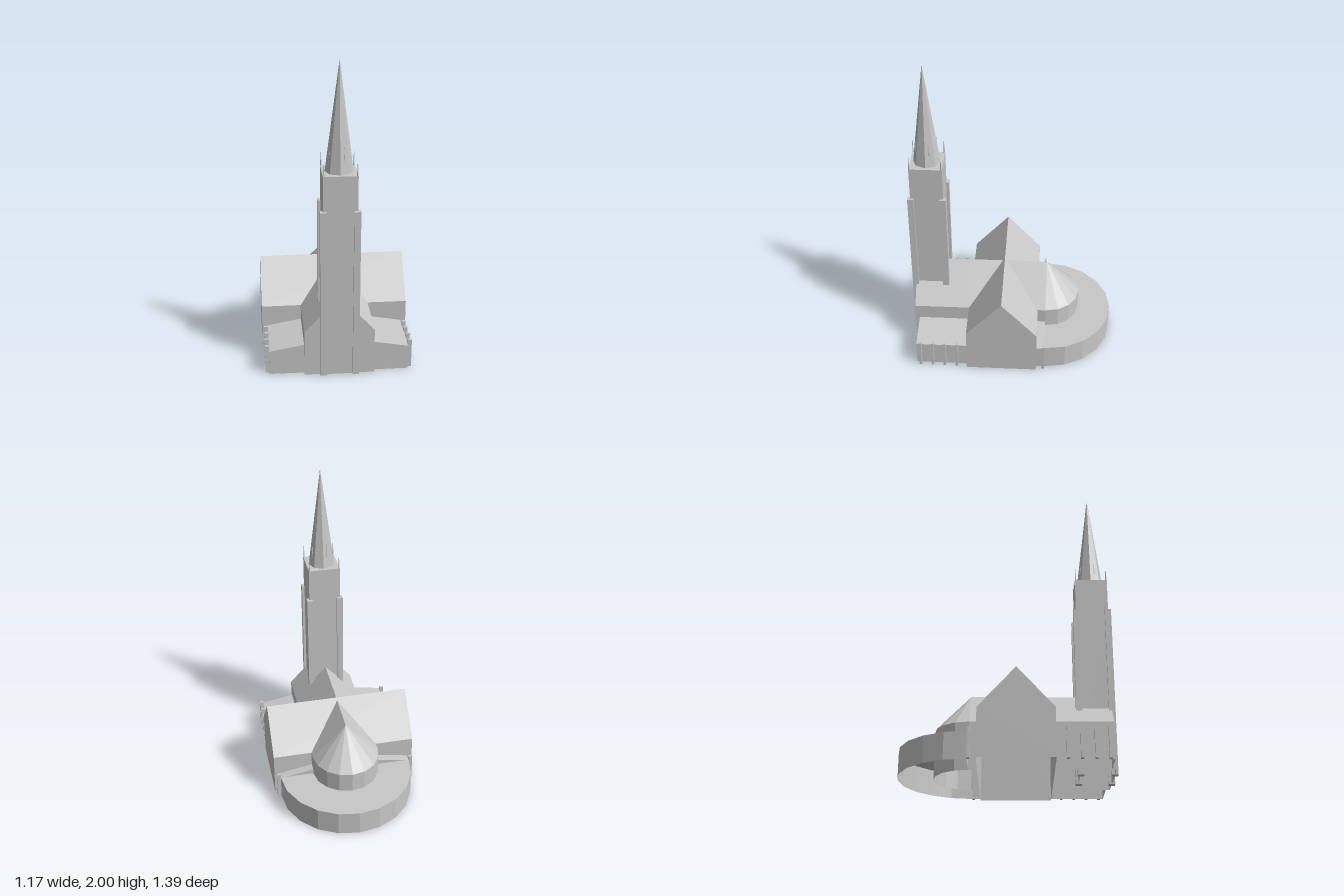
import * as THREE from 'three';

export function createModel() {
  const stone = new THREE.MeshStandardMaterial({ color: 0xc8c8c8, flatShading: true, side: THREE.DoubleSide });
  stone.name = 'stoneGrey';

  const model = new THREE.Group();
  model.name = 'church';
  // local frame: origin at the crossing, nave runs along +z
  const plan = new THREE.Group();
  plan.name = 'churchBody';
  plan.position.set(0.0425, 0, 0.005);
  plan.rotation.y = THREE.MathUtils.degToRad(-21);
  model.add(plan);

  function add(name, geometry, x = 0, y = 0, z = 0, parent = plan) {
    const mesh = new THREE.Mesh(geometry, stone);
    mesh.name = name;
    mesh.position.set(x, y, z);
    parent.add(mesh);
    return mesh;
  }

  // Sweep an [x, y] profile (clockwise seen from +z) along z, with optional end walls
  function shell(profile, z0, z1, backCap = false, frontCap = false, base = []) {
    const pos = [];
    for (let i = 0; i < profile.length - 1; i++) {
      const [ax, ay] = profile[i], [bx, by] = profile[i + 1];
      pos.push(ax, ay, z0, ax, ay, z1, bx, by, z1, ax, ay, z0, bx, by, z1, bx, by, z0);
    }
    const outline = [...profile, ...base];
    for (let i = 1; i < outline.length - 1; i++) {
      const tri = [outline[0], outline[i], outline[i + 1]];
      if (backCap) for (const [x, y] of tri) pos.push(x, y, z0);
      if (frontCap) for (const [x, y] of tri.slice().reverse()) pos.push(x, y, z1);
    }
    const g = new THREE.BufferGeometry();
    g.setAttribute('position', new THREE.Float32BufferAttribute(pos, 3));
    g.computeVertexNormals();
    return g;
  }
  const gable = (w, eave, ridge) => [[-w, 0], [-w, eave], [0, ridge], [w, eave], [w, 0]];

  // Transept, nave and chancel
  const EAVE = 0.3, RIDGE = 0.54, W = 0.22, T = 0.23, APSE_Z = -0.283;
  add('transept', shell(gable(T, EAVE, 0.555), -0.474, 0.474, true, true)).rotation.y = Math.PI / 2;
  add('nave', shell(gable(W, EAVE, RIDGE), T, 0.592, false, true));
  add('crossingRoof', shell(gable(W, EAVE, RIDGE).slice(1, 4), -T, T));
  add('chancel', shell(gable(W, EAVE, RIDGE), APSE_Z, -T));

  // Apse and the low ambulatory around it
  const R = 0.44, LOW = 0.166;
  add('apseWall', new THREE.CylinderGeometry(W, W, EAVE, 8, 1, true, Math.PI / 2, Math.PI), 0, EAVE / 2, APSE_Z);
  add('apseRoof', new THREE.ConeGeometry(W, RIDGE - EAVE, 8, 1, true, Math.PI / 2, Math.PI),
    0, (RIDGE + EAVE) / 2, APSE_Z);
  add('ambulatoryWall', new THREE.CylinderGeometry(R, R, LOW, 10, 1, true, Math.PI / 2, Math.PI), 0, LOW / 2, APSE_Z);
  add('ambulatoryRoof', new THREE.RingGeometry(0.2, R, 10, 1, 0, Math.PI), 0, LOW, APSE_Z).rotation.x = -Math.PI / 2;

  // Arched aisle door
  const arch = new THREE.Shape();
  arch.moveTo(-0.013, 0).lineTo(0.013, 0).lineTo(0.013, 0.045);
  arch.quadraticCurveTo(0.011, 0.06, 0, 0.067).quadraticCurveTo(-0.011, 0.06, -0.013, 0.045);
  const door = new THREE.ExtrudeGeometry(arch, { depth: 0.003, bevelEnabled: false, curveSegments: 4 });

  // Side aisles, their doors and wall buttresses, mirrored
  for (const s of [-1, 1]) {
    const side = s > 0 ? 'left' : 'right';
    let slope = [[s * W, 0.2], [s * R, 0.16], [s * R, 0]];
    let base = [[s * W, 0]];
    if (s < 0) slope.reverse();
    add(side + 'Aisle', shell(slope, T, 0.566, false, true, base));
    add(side + 'RearAisle', shell(slope, APSE_Z, -T, true, false, base));
    add(side + 'Door', door, s * 0.28, 0, 0.565);
    for (const z of [0.54, 0.459, 0.378, 0.297, -0.275])
      add(side + 'Buttress', new THREE.BoxGeometry(0.026, 0.19, 0.017), s * 0.451, 0.095, z);
  }

  // Tower with corner buttresses and pinnacles
  const tower = new THREE.Group();
  tower.name = 'tower';
  tower.position.set(0, 0, 0.492);
  plan.add(tower);
  const H = 0.105, TOP = 1.325;
  add('towerShaft', shell([[-H, 0], [-H, TOP], [H, TOP], [H, 0]], -H, H, true, true), 0, 0, 0, tower);
  for (const sx of [-1, 1]) for (const sz of [-1, 1]) {
    add('towerButtress', new THREE.BoxGeometry(0.04, 1.105, 0.04), sx * 0.102, 0.5525, sz * 0.102, tower);
    add('pinnacle', new THREE.CylinderGeometry(0.001, 0.005, 0.085, 6), sx * 0.1, TOP + 0.0425, sz * 0.1, tower);
  }

  // Octagonal spire with a small finial on every other face
  add('spire', new THREE.ConeGeometry(0.086, 2 - TOP, 8), 0, (2 + TOP) / 2, 0, tower);
  for (let i = 0; i < 4; i++) {
    const a = Math.PI / 8 + i * Math.PI / 2;
    add('spireFinial', new THREE.CylinderGeometry(0.001, 0.005, 0.11, 6),
      Math.sin(a) * 0.068, 1.435, Math.cos(a) * 0.068, tower);
  }
  return model;
}
